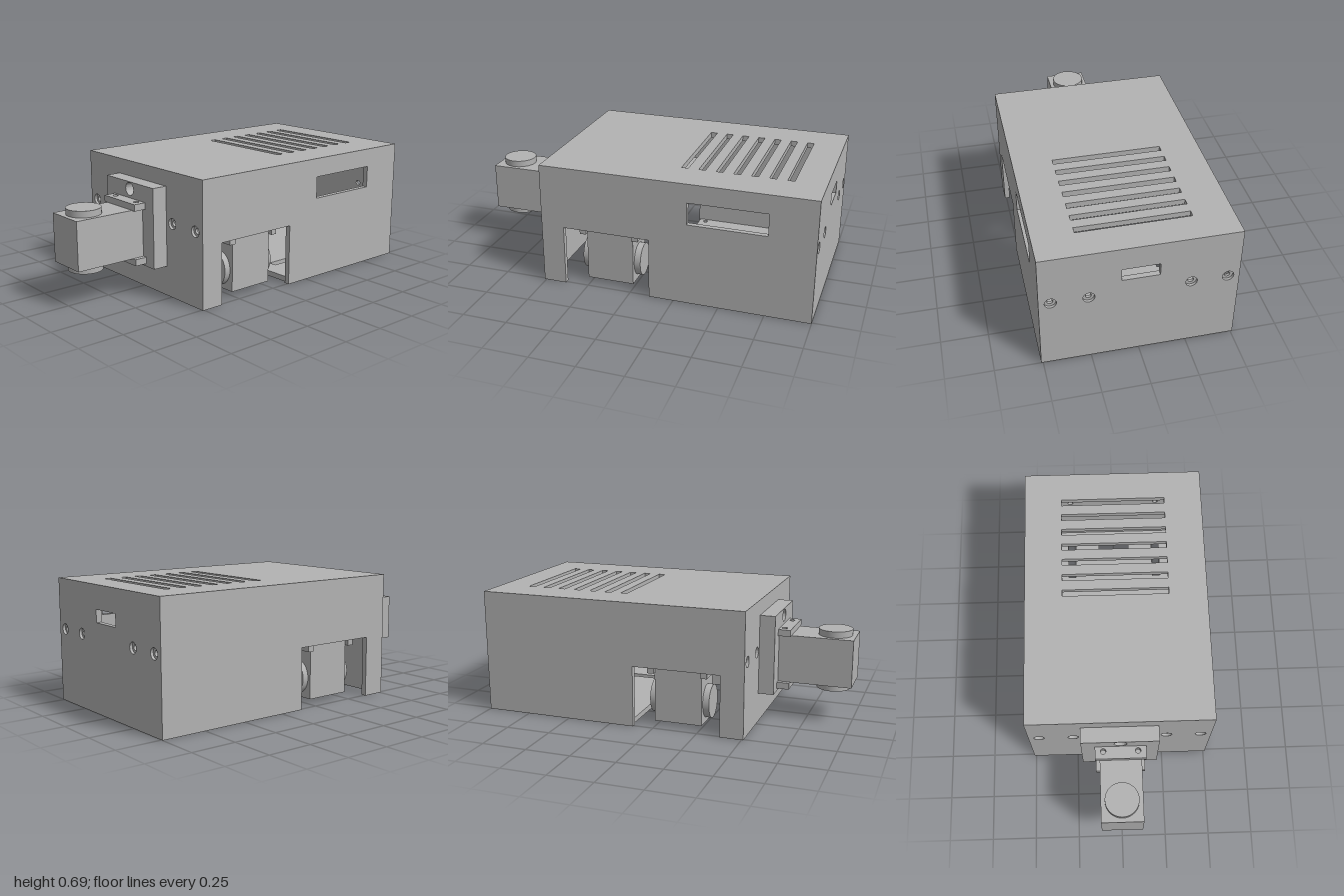
import * as THREE from 'three';
import { toCreasedNormals } from 'three/addons/utils/BufferGeometryUtils.js';

const shell = new THREE.MeshStandardMaterial({ color: 0xb3b3b3 });
shell.name = 'plain grey';

const T = 0.03; // wall thickness

function rect(x0, x1, y0, y1, Type = THREE.Path) {
  const p = new Type();
  p.moveTo(x0, y0);
  p.lineTo(x1, y0);
  p.lineTo(x1, y1);
  p.lineTo(x0, y1);
  p.closePath();
  return p;
}

function circle(x, y, r) {
  return new THREE.Path().absarc(x, y, r, 0, Math.PI * 2, true);
}

// Flat panel with holes, extruded along its local z
function panel(name, outline, holes, depth) {
  outline.holes.push(...holes);
  const geo = new THREE.ExtrudeGeometry(outline, { depth, bevelEnabled: false, curveSegments: 20 });
  const mesh = new THREE.Mesh(toCreasedNormals(geo, 0.6), shell);
  mesh.name = name;
  return mesh;
}

function box(name, x0, x1, y0, y1, z0, z1) {
  const mesh = new THREE.Mesh(new THREE.BoxGeometry(x1 - x0, y1 - y0, z1 - z0), shell);
  mesh.name = name;
  mesh.position.set((x0 + x1) / 2, (y0 + y1) / 2, (z0 + z1) / 2);
  return mesh;
}

// Panel lying flat: shape y becomes world z, extruded downwards from y
function lay(mesh, y) {
  mesh.rotation.x = Math.PI / 2;
  mesh.position.y = y;
  return mesh;
}

// Panel facing sideways: shape x runs along z, extruded towards +x from x
function stand(mesh, x) {
  mesh.rotation.y = Math.PI / 2;
  mesh.position.x = x;
  return mesh;
}

// Motor pointing along -x from its mounting face at x = 0
function motor(name, length, earDepth) {
  const g = new THREE.Group();
  g.name = name;
  g.add(box('motorBody', -length, 0, -0.133, 0.133, -0.115, 0.115));
  for (const s of [-1, 1]) {
    const disc = new THREE.Mesh(new THREE.CylinderGeometry(0.093, 0.093, 0.036, 40), shell);
    disc.name = 'motorDisc';
    disc.position.set(-length + 0.115, s * 0.15, 0);
    g.add(disc);
    const holes = [-0.095, 0.095].map((z) => circle(-earDepth * 0.38, z, 0.015));
    const ear = panel('mountingEar', rect(-earDepth, 0, -0.14, 0.14, THREE.Shape), holes, 0.036);
    g.add(lay(ear, s > 0 ? 0.168 : -0.132));
  }
  return g;
}

export function createModel() {
  const model = new THREE.Group();
  model.name = 'roboticsHousing';

  // Top cover with ventilation slots
  const slots = [];
  for (let i = 0; i < 7; i++) {
    const x = 0.225 + i * 0.095;
    slots.push(rect(x, x + 0.037, -0.3, 0.295));
  }
  model.add(lay(panel('topCover', rect(-0.51, 1, -0.51, 0.51, THREE.Shape), slots, T), 0.69));

  // Front and back walls, notched for the motors; only the front has a window
  for (const s of [1, -1]) {
    const outline = new THREE.Shape();
    [[-0.51, 0], [-0.38, 0], [-0.38, 0.34], [0.112, 0.34], [0.112, 0], [1, 0], [1, 0.66], [-0.51, 0.66]]
      .forEach(([x, y], i) => (i ? outline.lineTo(x, y) : outline.moveTo(x, y)));
    const holes = s > 0 ? [rect(0.32, 0.75, 0.462, 0.585)] : [];
    const wall = panel(s > 0 ? 'frontWall' : 'backWall', outline, holes, T);
    wall.position.z = s > 0 ? 0.51 - T : -0.51;
    model.add(wall);
  }

  // Side walls in two layers so that the screw holes are counterbored
  const screwZ = [-0.45, -0.26, 0.26, 0.45];
  const half = 0.51 - T;
  for (const s of [1, -1]) {
    for (const outer of [true, false]) {
      const holes = screwZ.map((z) => circle(z, 0.41, outer ? 0.03 : 0.015));
      if (s > 0) holes.push(rect(-0.097, 0.097, 0.49, 0.56));
      else holes.push(circle(0, 0.565, 0.04));
      const wall = panel(s > 0 ? 'rightEndWall' : 'leftEndWall',
        rect(-half, half, 0, 0.66, THREE.Shape), holes, T / 2);
      const x = s > 0 ? 1 - (outer ? T / 2 : T) : -0.51 + (outer ? 0 : T / 2);
      model.add(stand(wall, x));
    }
  }

  // Bottom plate with slots, a socket opening and counterbored corner holes
  for (const lower of [true, false]) {
    const holes = [rect(0.82, 0.92, -0.095, 0.095)];
    for (const s of [-1, 1]) {
      for (const x of [0.16, 0.94]) holes.push(circle(x, s * 0.452, lower ? 0.026 : 0.013));
      for (const [a, b] of [[0.22, 0.475], [0.645, 0.9]]) {
        const z = [s * 0.245, s * 0.292].sort((p, q) => p - q);
        holes.push(rect(a, b, z[0], z[1]));
      }
    }
    const plate = panel('bottomPlate', rect(0.12, 0.968, -0.478, 0.478, THREE.Shape), holes, 0.015);
    model.add(lay(plate, lower ? 0.02 : 0.035));
  }

  // Side motor on its bracket plate with a cable hole
  const bracket = panel('sideBracket', rect(-0.21, 0.215, 0.165, 0.605, THREE.Shape),
    [circle(0, 0.565, 0.035)], 0.085);
  model.add(stand(bracket, -0.595));
  const sideMotor = motor('sideMotor', 0.405, 0.068);
  sideMotor.position.set(-0.595, 0.348, 0);
  model.add(sideMotor);

  // Drive motors hanging in the notches, with discs facing along x
  for (const s of [1, -1]) {
    const drive = motor('driveMotor', 0.34, 0.068);
    drive.rotation.set(0, 0, Math.PI / 2);
    drive.scale.z = 0.85;
    drive.position.set(-0.13, 0.37, s * 0.36);
    model.add(drive);
    const z = [s * 0.23, s * 0.479].sort((p, q) => p - q);
    model.add(box('driveBracket', -0.35, 0.09, 0.37, 0.45, z[0], z[1]));
  }

  return model;
}
